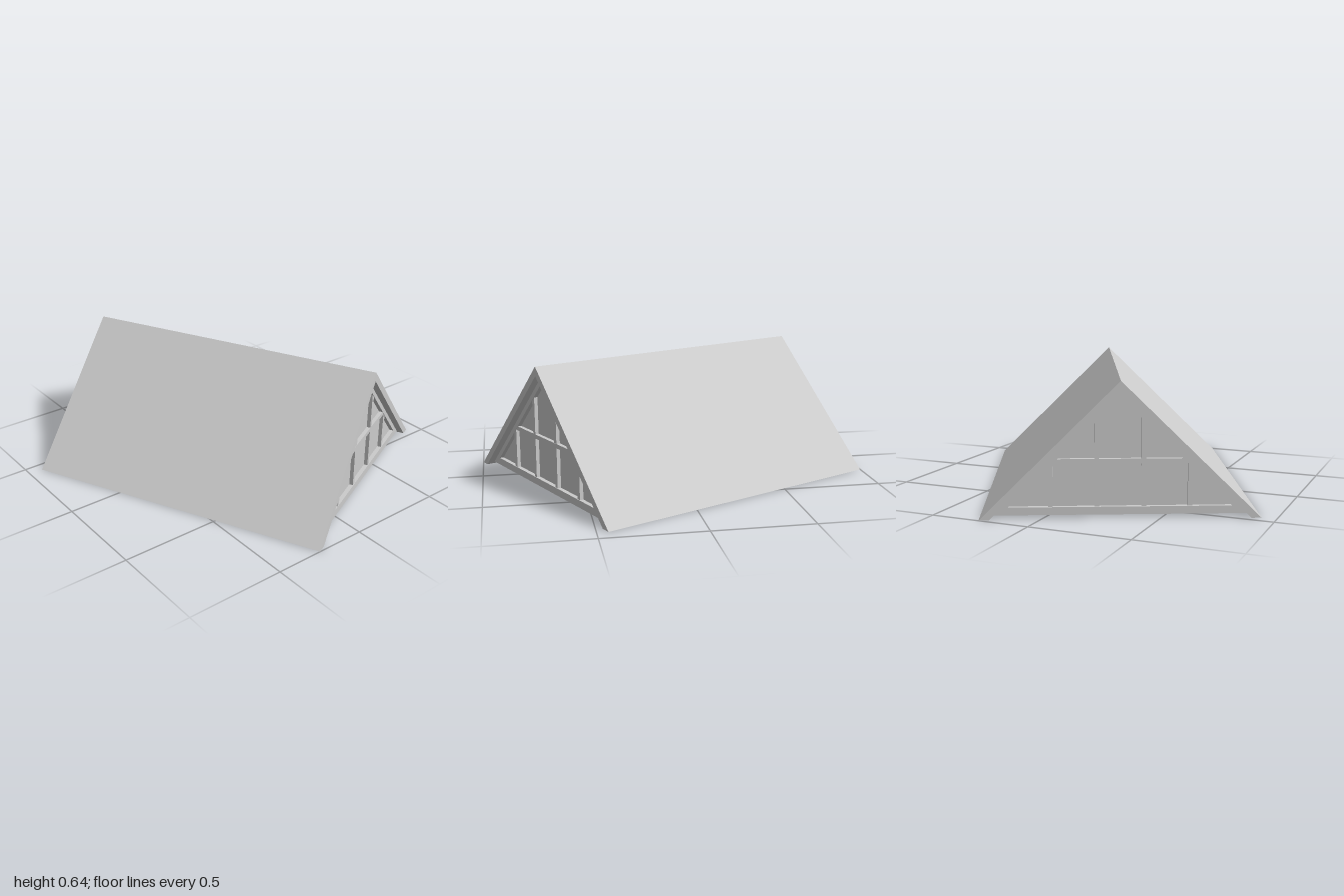
import * as THREE from 'three';

const HALF = 0.653, RIDGE = 0.642, LENGTH = 1.596;
const EDGE = 0.047;          // vertical thickness of the roof edges
const DECK = 0.024;          // vertical thickness of the roof between them
const END = 0.098;           // depth of the thick roof edge at each gable
const SILL = 0.013;          // underside of the gable walls
const WALL_Z = 0.737;        // centre plane of each gable wall
const WALL_T = 0.048;

const material = new THREE.MeshStandardMaterial({ color: 0xcccccc, flatShading: true });

// Half-width of the roof at height y, lowered by a vertical inset
const halfAt = (y, inset) => (RIDGE - inset - y) * HALF / RIDGE;

function triangle(y, inset, Type = THREE.Shape) {
  const w = halfAt(y, inset);
  return new Type([
    new THREE.Vector2(-w, y), new THREE.Vector2(w, y), new THREE.Vector2(0, RIDGE - inset),
  ]);
}

// Prism centred on z = 0
function prism(name, shape, depth) {
  const g = new THREE.ExtrudeGeometry(shape, { depth, bevelEnabled: false });
  g.translate(0, 0, -depth / 2);
  const mesh = new THREE.Mesh(g, material);
  mesh.name = name;
  return mesh;
}

// Roof section: the underside is given from the left eave to the ridge, then mirrored
function roofSection(underside) {
  const mirrored = underside.slice(0, -1).reverse().map(([x, y]) => [-x, y]);
  const points = [[-HALF, 0], ...underside, ...mirrored, [HALF, 0], [0, RIDGE]];
  return new THREE.Shape(points.map(([x, y]) => new THREE.Vector2(x, y)));
}

function gable() {
  const group = new THREE.Group();
  group.name = 'gableWall';

  // Triangular frame with its window opening
  const frame = triangle(SILL, 0.046);
  frame.holes.push(triangle(0.05, 0.08, THREE.Path));
  group.add(prism('windowFrame', frame, WALL_T));

  // Pane in the middle of the frame
  group.add(prism('windowPane', triangle(0.045, 0.075), 0.004));

  // Upright bars, cut to the slope of the roof
  const b = 0.011, top = (x) => RIDGE - 0.078 - Math.abs(x) * RIDGE / HALF;
  for (const x of [-0.325, -0.109, 0.109, 0.325]) {
    const bar = new THREE.Shape([
      new THREE.Vector2(x - b, 0.045), new THREE.Vector2(x + b, 0.045),
      new THREE.Vector2(x + b, top(x + b)), new THREE.Vector2(x - b, top(x - b)),
    ]);
    group.add(prism('uprightBar', bar, 0.042));
  }

  // Cross bar
  const lo = 0.254, hi = 0.276, wl = halfAt(lo, 0.078), wh = halfAt(hi, 0.078);
  const cross = new THREE.Shape([
    new THREE.Vector2(-wl, lo), new THREE.Vector2(wl, lo),
    new THREE.Vector2(wh, hi), new THREE.Vector2(-wh, hi),
  ]);
  group.add(prism('crossBar', cross, 0.044));
  return group;
}

export function createModel() {
  const house = new THREE.Group();
  house.name = 'gableRoof';

  // Two roof slopes, open underneath, thicker along the eaves
  const eave = 0.02;
  house.add(prism('roof', roofSection([
    [-halfAt(0, EDGE), 0], [-halfAt(eave, EDGE), eave],
    [-halfAt(eave, DECK), eave], [0, RIDGE - DECK],
  ]), LENGTH - 2 * END));

  // A thick roof edge and a glazed wall at each end
  const edge = roofSection([[-halfAt(0, EDGE), 0], [0, RIDGE - EDGE]]);
  for (const side of [-1, 1]) {
    const roofEdge = prism('roofEdge', edge, END);
    roofEdge.position.z = side * (LENGTH - END) / 2;
    const wall = gable();
    wall.position.z = side * WALL_Z;
    house.add(roofEdge, wall);
  }

  // The ridge runs diagonally across the plan
  house.rotation.y = THREE.MathUtils.degToRad(115);
  const model = new THREE.Group();
  model.add(house);
  return model;
}
